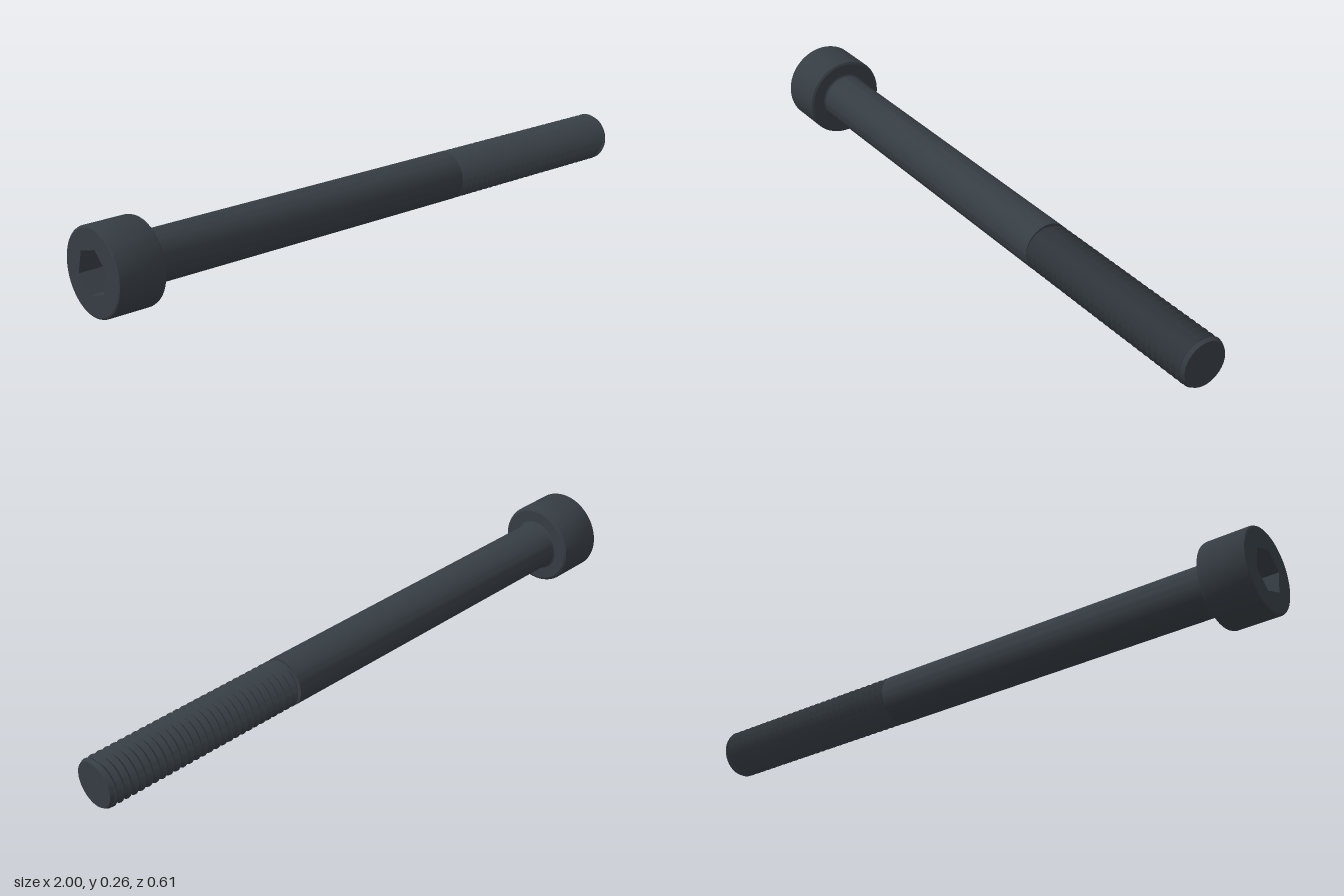
import * as THREE from 'three';
import { toCreasedNormals } from 'three/addons/utils/BufferGeometryUtils.js';

const HEAD_R = 0.13, HEAD_L = 0.153, SHAFT_R = 0.0765, HEX_R = 0.071, HEX_DEPTH = 0.08;
const THREAD_START = 1.31, PITCH = 0.0245, THREAD_DEPTH = 0.015;
const SEGMENTS = 64;

function lathe(points) {
  const profile = points.map(([r, y]) => new THREE.Vector2(r, y));
  return toCreasedNormals(new THREE.LatheGeometry(profile, SEGMENTS), 0.4);
}

// Helical V-thread: rows alternate crest and root, each climbing one pitch per turn
function threadGeometry(y0, y1) {
  const positions = [], index = [];
  const rows = Math.ceil((y1 - y0) / PITCH) * 2 + 3;
  const stride = SEGMENTS + 1;
  for (let j = 0; j < rows; j++) {
    for (let i = 0; i <= SEGMENTS; i++) {
      const turn = i / SEGMENTS;
      const y = THREE.MathUtils.clamp(y0 + PITCH * (j / 2 - 1 + turn), y0, y1);
      const t = THREE.MathUtils.euclideanModulo((y - y0) / PITCH - turn, 1);
      const r = SHAFT_R - THREAD_DEPTH * (1 - Math.abs(2 * t - 1));
      const a = turn * Math.PI * 2;
      positions.push(r * Math.sin(a), y, r * Math.cos(a));
      if (j < rows - 1 && i < SEGMENTS) {
        const p = j * stride + i, q = p + stride;
        index.push(p, p + 1, q, p + 1, q + 1, q);
      }
    }
  }
  const g = new THREE.BufferGeometry();
  g.setAttribute('position', new THREE.Float32BufferAttribute(positions, 3));
  g.setIndex(index);
  return toCreasedNormals(g, 0.6);
}

export function createModel() {
  const model = new THREE.Group();
  model.name = 'socketHeadBolt';
  const steel = new THREE.MeshStandardMaterial({ color: 0x363d43, side: THREE.DoubleSide });
  steel.name = 'blackened steel';
  const add = (name, geometry) => {
    const mesh = new THREE.Mesh(geometry, steel);
    mesh.name = name;
    model.add(mesh);
  };

  // The bolt axis runs from the head's outer face to the tip
  const headEnd = new THREE.Vector3(-0.973, 0.137, -0.182);
  const tip = new THREE.Vector3(0.984, 0.08, 0.233);
  const axis = tip.clone().sub(headEnd);
  const length = axis.length();

  // Head wall with softened rims and flat underside
  add('head', lathe([
    [HEAD_R - 0.007, 0], [HEAD_R - 0.002, 0.002], [HEAD_R, 0.007],
    [HEAD_R, HEAD_L - 0.012], [HEAD_R - 0.003, HEAD_L - 0.004],
    [HEAD_R - 0.01, HEAD_L], [SHAFT_R, HEAD_L],
  ]));

  // Outer face of the head with a hexagonal opening
  const face = new THREE.Shape().absarc(0, 0, HEAD_R - 0.007, 0, Math.PI * 2, false);
  const hex = [];
  for (let i = 0; i < 6; i++) {
    const a = i * Math.PI / 3;
    hex.push(new THREE.Vector2(HEX_R * Math.cos(a), HEX_R * Math.sin(a)));
  }
  face.holes.push(new THREE.Path(hex));
  add('headFace', new THREE.ShapeGeometry(face, SEGMENTS / 2).rotateX(Math.PI / 2));

  // Hexagonal socket: inward-facing walls and floor
  const walls = new THREE.CylinderGeometry(HEX_R, HEX_R, HEX_DEPTH, 6, 1, true)
    .rotateY(Math.PI / 2).scale(1, 1, -1).translate(0, HEX_DEPTH / 2, 0).toNonIndexed();
  walls.computeVertexNormals();
  add('socketWalls', walls);
  add('socketFloor', new THREE.CircleGeometry(HEX_R, 6).rotateX(Math.PI / 2).translate(0, HEX_DEPTH, 0));

  // Smooth shank with a small fillet under the head
  add('shank', lathe([
    [SHAFT_R + 0.007, HEAD_L], [SHAFT_R + 0.002, HEAD_L + 0.003], [SHAFT_R, HEAD_L + 0.01],
    [SHAFT_R, THREAD_START], [SHAFT_R - THREAD_DEPTH, THREAD_START],
  ]));

  // Thread and chamfered tip
  add('thread', threadGeometry(THREAD_START, length - 0.012));
  add('tip', lathe([
    [SHAFT_R - THREAD_DEPTH, length - 0.014], [SHAFT_R - 0.001, length - 0.011],
    [SHAFT_R - 0.007, length], [0, length],
  ]));

  model.quaternion.setFromUnitVectors(new THREE.Vector3(0, 1, 0), axis.normalize());
  model.position.copy(headEnd);
  const root = new THREE.Group();
  root.name = 'bolt';
  root.add(model);
  return root;
}
